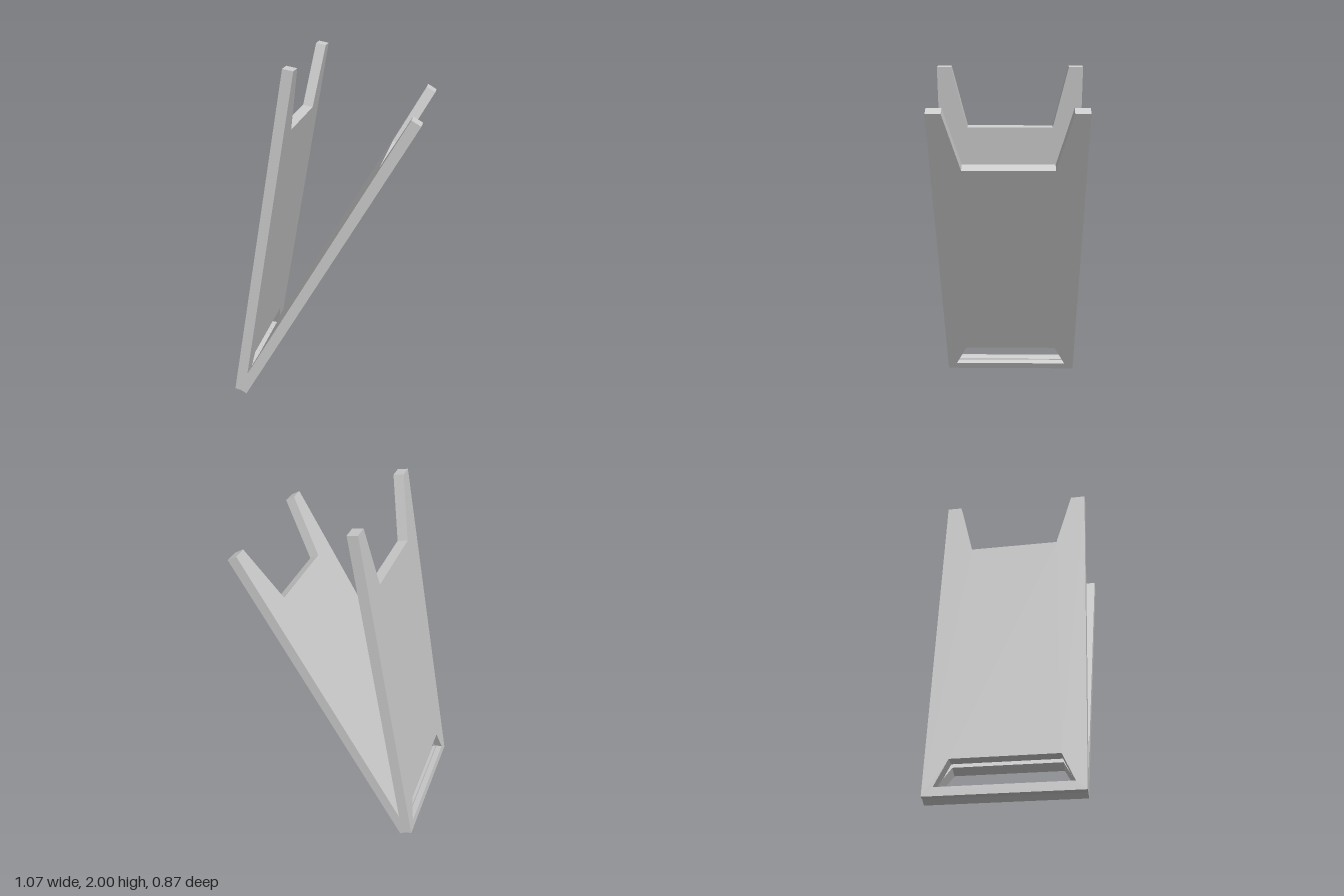
import * as THREE from 'three';

const THICKNESS = 0.06;

// Tapered board outline with a flared notch at the top and a trapezoid slot near the foot
function panelGeometry() {
  const points = (list) => list.map(([x, y]) => new THREE.Vector2(x, y));
  const shape = new THREE.Shape(points([
    [-0.417, 0], [0.417, 0], [0.434, 2], [0.35, 2],
    [0.26, 1.637], [-0.26, 1.637], [-0.35, 2], [-0.434, 2],
  ]));
  shape.holes.push(new THREE.Path(points([
    [-0.36, 0.05], [-0.29, 0.205], [0.29, 0.205], [0.36, 0.05],
  ])));
  return new THREE.ExtrudeGeometry(shape, { depth: THICKNESS, bevelEnabled: false });
}

export function createModel() {
  const group = new THREE.Group();
  group.name = 'vStand';
  const geometry = panelGeometry();
  const material = new THREE.MeshStandardMaterial({ color: 0xcccccc, flatShading: true });

  // A board rising from a foot point on its outer face; side is the z sign of its width axis
  function addPanel(name, footX, footY, leanDegrees, side) {
    const lean = THREE.MathUtils.degToRad(leanDegrees);
    const across = new THREE.Vector3(0, 0, side);
    const up = new THREE.Vector3(Math.sin(lean), Math.cos(lean), 0);
    const inward = new THREE.Vector3().crossVectors(across, up);
    const panel = new THREE.Mesh(geometry, material);
    panel.name = name;
    panel.quaternion.setFromRotationMatrix(new THREE.Matrix4().makeBasis(across, up, inward));
    panel.position.set(footX, footY, 0);
    group.add(panel);
  }

  // Steep and reclined boards, crossing at the foot
  addPanel('steepPanel', -0.537, 0.03, 10, -1);
  addPanel('reclinedPanel', -0.468, 0.003, 30, 1);
  return group;
}
